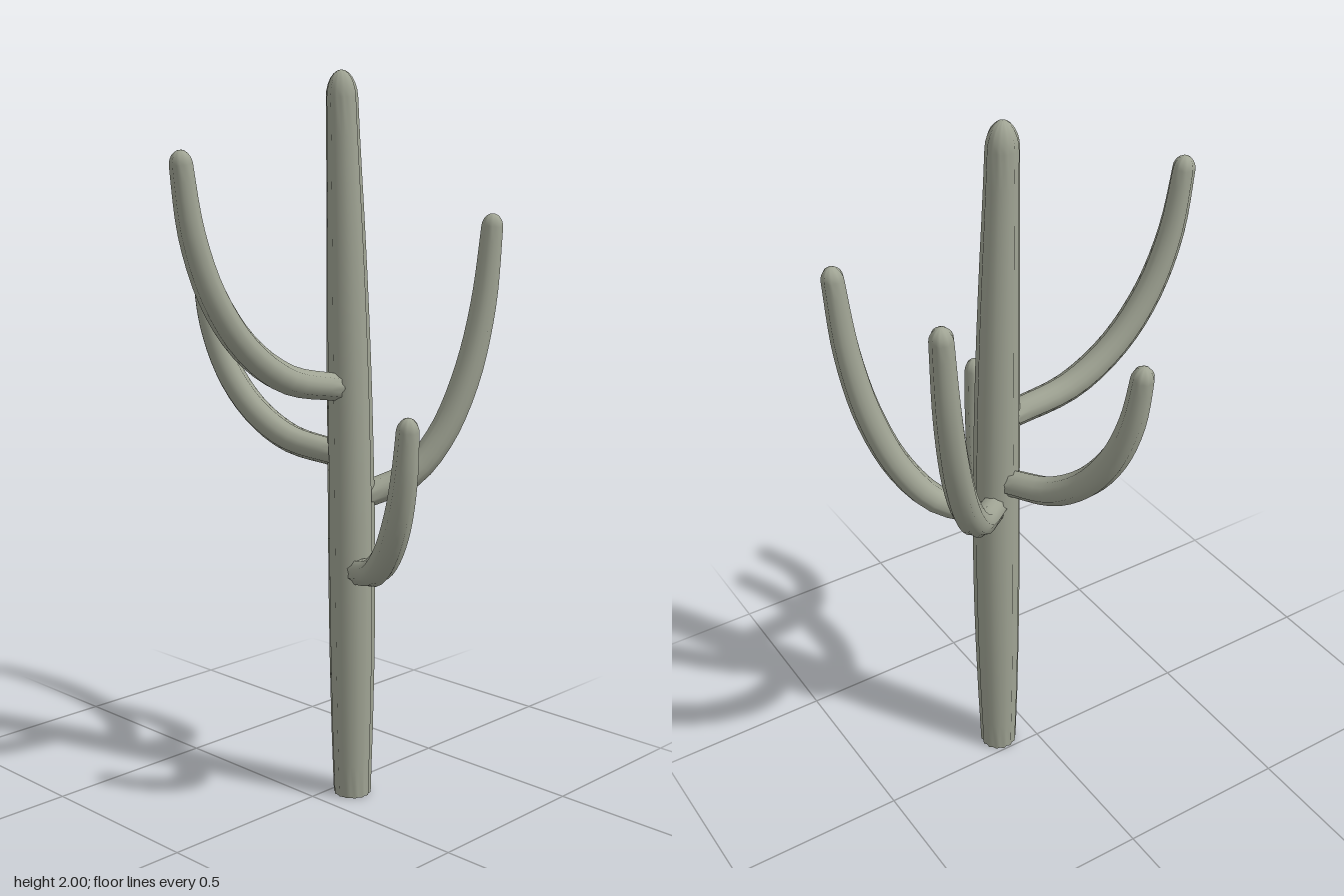
import * as THREE from 'three';

const cactusSkin = new THREE.MeshStandardMaterial({ color: 0xa0a494 });
cactusSkin.name = 'greyGreenSkin';

// Ribbed limb swept along a curve: radii are spread evenly along it, with a domed tip and a flat start cap
function ribbedLimb(name, points, radii, ribs, ribDepth, side, domeLength) {
  const curve = new THREE.CatmullRomCurve3(points, false, 'centripetal');
  const length = curve.getLength();
  const domeStart = 1 - domeLength / length;
  const stations = [];
  for (let i = 0; i <= 20; i++) stations.push([domeStart * i / 20, 1]);
  for (let i = 1; i < 6; i++) {
    const a = i / 6 * Math.PI / 2;
    stations.push([domeStart + (1 - domeStart) * Math.sin(a), Math.cos(a)]);
  }
  const radiusAt = (t) => {
    const f = t * (radii.length - 1);
    const i = Math.min(Math.floor(f), radii.length - 2);
    return THREE.MathUtils.lerp(radii[i], radii[i + 1], f - i);
  };

  const n = ribs * 2;
  const pos = [];
  const index = [];
  for (const [t, scale] of stations) {
    const c = curve.getPointAt(t);
    const tangent = curve.getTangentAt(t);
    const s = side.clone().addScaledVector(tangent, -side.dot(tangent)).normalize();
    const up = tangent.clone().cross(s);
    for (let j = 0; j < n; j++) {
      const a = j / n * Math.PI * 2;
      const r = radiusAt(t) * scale * (j % 2 ? 1 - ribDepth : 1 + ribDepth);
      const p = c.clone().addScaledVector(s, r * Math.cos(a)).addScaledVector(up, r * Math.sin(a));
      pos.push(p.x, p.y, p.z);
    }
  }
  const rows = stations.length;
  for (let i = 0; i < rows - 1; i++) {
    for (let j = 0; j < n; j++) {
      const a = i * n + j, b = i * n + (j + 1) % n;
      index.push(a, b, a + n, b, b + n, a + n);
    }
  }
  // tip pole
  const tip = curve.getPointAt(1);
  const pole = rows * n;
  pos.push(tip.x, tip.y, tip.z);
  for (let j = 0; j < n; j++) index.push((rows - 1) * n + j, (rows - 1) * n + (j + 1) % n, pole);
  // start cap on its own vertices, so its edge stays sharp
  const cap = pole + 1;
  pos.push(...pos.slice(0, n * 3));
  pos.push(points[0].x, points[0].y, points[0].z);
  for (let j = 0; j < n; j++) index.push(cap + (j + 1) % n, cap + j, cap + n);

  const geometry = new THREE.BufferGeometry();
  geometry.setAttribute('position', new THREE.Float32BufferAttribute(pos, 3));
  geometry.setIndex(index);
  geometry.computeVertexNormals();
  const mesh = new THREE.Mesh(geometry, cactusSkin);
  mesh.name = name;
  return mesh;
}

// Arm: leaves the trunk almost level, then bends up to its tip in one vertical plane
const armBend = [[0, 0], [0.34, 0.06], [0.6, 0.2], [0.8, 0.41], [0.93, 0.67], [1, 1]];
function arm(name, start, tip) {
  const a = new THREE.Vector3(...start);
  const b = new THREE.Vector3(...tip);
  const points = armBend.map(([u, v]) => new THREE.Vector3(
    THREE.MathUtils.lerp(a.x, b.x, u),
    THREE.MathUtils.lerp(a.y, b.y, v),
    THREE.MathUtils.lerp(a.z, b.z, u)));
  const side = new THREE.Vector3(b.z - a.z, 0, a.x - b.x).normalize();
  return ribbedLimb(name, points, [0.035, 0.038, 0.037, 0.033, 0.027], 9, 0.07, side, 0.035);
}

export function createModel() {
  const cactus = new THREE.Group();
  cactus.name = 'cactus';

  // slightly leaning trunk, widest below the middle
  const trunkPath = [[0.105, 0, 0.055], [0.103, 0.8, 0.048], [0.092, 1.4, 0.04], [0.075, 2, 0.03]]
    .map((p) => new THREE.Vector3(...p));
  cactus.add(ribbedLimb('trunk', trunkPath,
    [0.05, 0.056, 0.06, 0.062, 0.062, 0.06, 0.058, 0.054, 0.049, 0.043, 0.039],
    14, 0.05, new THREE.Vector3(1, 0, 0), 0.07));

  cactus.add(
    arm('rightArm', [0.05, 1.17, 0.04], [-0.445, 1.8, -0.01]),
    arm('backArm', [0.085, 0.98, 0.005], [-0.06, 1.49, -0.378]),
    arm('backLeftArm', [0.13, 0.91, 0.015], [0.425, 1.695, -0.26]),
    arm('frontLeftArm', [0.14, 0.865, 0.07], [0.443, 1.625, 0.25]),
    arm('frontArm', [0.083, 0.66, 0.098], [-0.036, 1.14, 0.376]),
  );
  return cactus;
}
